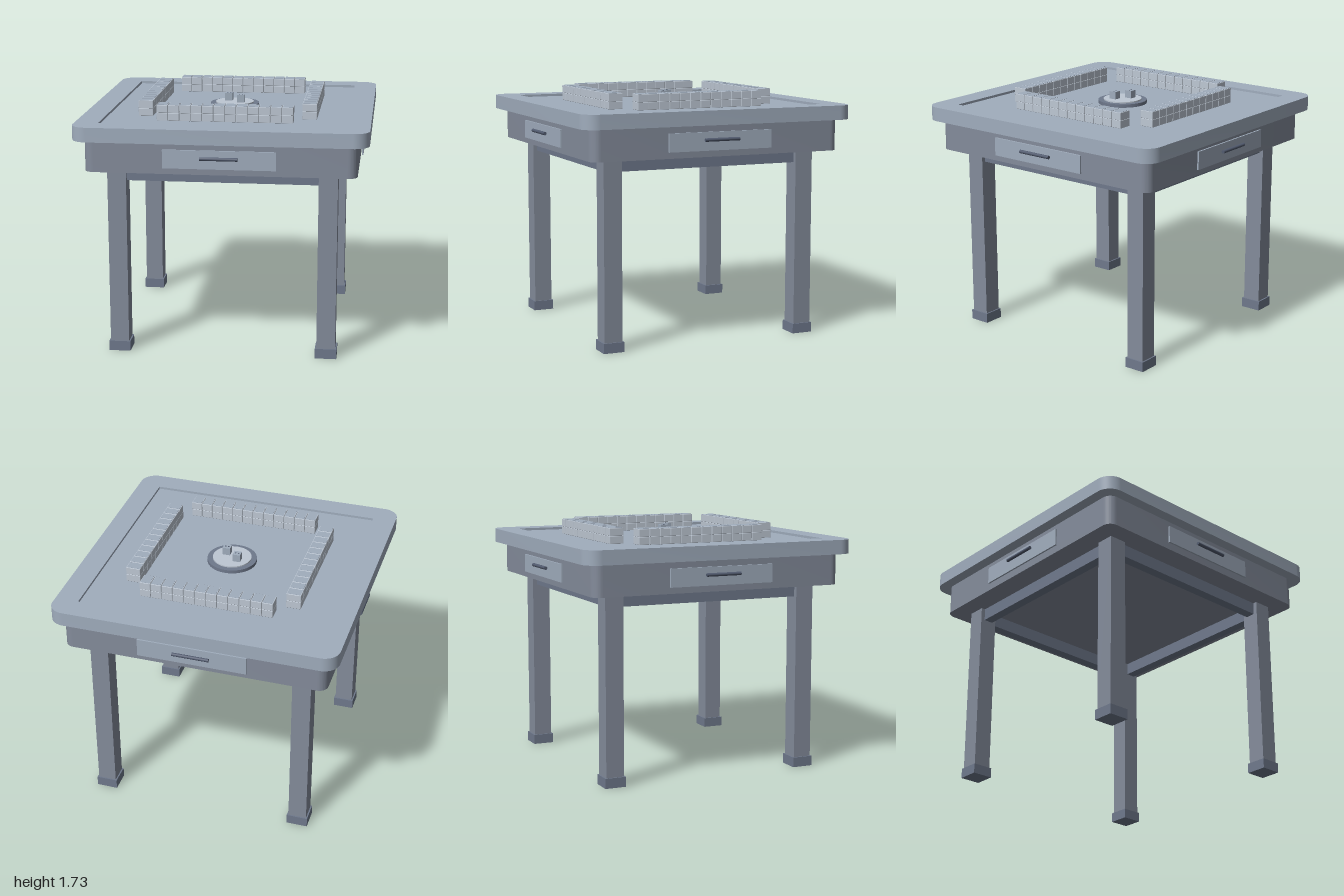
import * as THREE from 'three';
import { RoundedBoxGeometry } from 'three/addons/geometries/RoundedBoxGeometry.js';
import { toCreasedNormals } from 'three/addons/utils/BufferGeometryUtils.js';

const paint = (color) => new THREE.MeshStandardMaterial({ color });
const topPaint = paint(0xa0adbd);
const bodyPaint = paint(0x848c9b);
const darkPaint = paint(0x6f798c);
const handlePaint = paint(0x525b6f);
const palePaint = paint(0xbec8d4);

function add(parent, name, material, geometry, x = 0, y = 0, z = 0) {
  const mesh = new THREE.Mesh(geometry, material);
  mesh.name = name;
  mesh.position.set(x, y, z);
  parent.add(mesh);
  return mesh;
}

function box(parent, name, material, w, h, d, x, y, z) {
  return add(parent, name, material, new THREE.BoxGeometry(w, h, d), x, y, z);
}

function roundedSquare(half, r) {
  const s = new THREE.Shape();
  const c = half - r;
  s.absarc(c, c, r, 0, Math.PI / 2);
  s.absarc(-c, c, r, Math.PI / 2, Math.PI);
  s.absarc(-c, -c, r, Math.PI, Math.PI * 1.5);
  s.absarc(c, -c, r, Math.PI * 1.5, Math.PI * 2);
  s.closePath();
  return s;
}

// Horizontal slab from a plan shape, standing on y = 0
function slab(shape, height) {
  const g = new THREE.ExtrudeGeometry(shape, { depth: height, bevelEnabled: false, curveSegments: 10 });
  g.rotateX(-Math.PI / 2);
  return toCreasedNormals(g, 0.6);
}

export function createModel() {
  const table = new THREE.Group();
  table.name = 'gameTable';

  // Table top: raised border around a sunken playing surface
  const border = roundedSquare(1, 0.11);
  const opening = new THREE.Path();
  const o = 0.836;
  opening.moveTo(-o, -o).lineTo(-o, o).lineTo(o, o).lineTo(o, -o).closePath();
  border.holes.push(opening);
  add(table, 'topBorder', topPaint, slab(border, 0.1), 0, 1.54, 0);
  box(table, 'playingSurface', topPaint, 2 * o, 0.083, 2 * o, 0, 1.5815, 0);

  // Body under the top
  add(table, 'apron', bodyPaint, slab(roundedSquare(0.923, 0.065), 0.22), 0, 1.32, 0);

  // Legs with square feet
  for (const sx of [-1, 1]) {
    for (const sz of [-1, 1]) {
      const leg = new THREE.Group();
      leg.name = 'leg';
      leg.position.set(sx * 0.725, 0, sz * 0.725);
      box(leg, 'legPost', bodyPaint, 0.13, 1.27, 0.13, 0, 0.695, 0);
      box(leg, 'foot', darkPaint, 0.15, 0.07, 0.15, 0, 0.035, 0);
      table.add(leg);
    }
  }

  // The same rail, drawer and double row of tiles on each of the four sides
  const tileGeometry = new RoundedBoxGeometry(0.076, 0.0545, 0.102, 1, 0.003);
  const tileBack = new THREE.BoxGeometry(0.066, 0.003, 0.092);
  for (let k = 0; k < 4; k++) {
    const side = new THREE.Group();
    side.name = 'side';
    side.rotation.y = k * Math.PI / 2;
    table.add(side);

    box(side, 'rail', darkPaint, 1.32, 0.09, 0.07, 0, 1.275, 0.725);
    box(side, 'drawerFront', topPaint, 0.765, 0.127, 0.012, 0, 1.428, 0.94);
    const handleBar = new THREE.CylinderGeometry(0.012, 0.012, 0.256, 16);
    const handle = add(side, 'drawerHandle', handlePaint, handleBar, 0, 1.44, 0.968);
    handle.rotation.z = Math.PI / 2;

    const wall = new THREE.Group();
    wall.name = 'tileWall';
    side.add(wall);
    for (let i = 0; i < 12; i++) {
      const x = (i - 5.5) * 0.0785;
      for (let layer = 0; layer < 2; layer++) {
        add(wall, 'tile', palePaint, tileGeometry, x, 1.6505 + layer * 0.0545, 0.572);
      }
      add(wall, 'tileBack', topPaint, tileBack, x, 1.7325, 0.572);
    }
  }

  // Centre dice tray
  add(table, 'trayRing', darkPaint, new THREE.CylinderGeometry(0.175, 0.175, 0.027, 48), 0, 1.6335, 0);
  add(table, 'trayDisc', palePaint, new THREE.CylinderGeometry(0.137, 0.137, 0.01, 48), 0, 1.651, 0);

  // Pair of dice
  const pip = new THREE.CylinderGeometry(0.005, 0.005, 0.002, 10);
  for (const s of [-1, 1]) {
    const die = new THREE.Group();
    die.name = 'die';
    die.position.set(s * 0.047, 1.683, s * 0.034);
    box(die, 'dieCube', topPaint, 0.054, 0.054, 0.054, 0, 0, 0);
    for (const x of [-0.011, 0.011]) add(die, 'pip', handlePaint, pip, x, 0.0275, 0);
    table.add(die);
  }

  return table;
}
